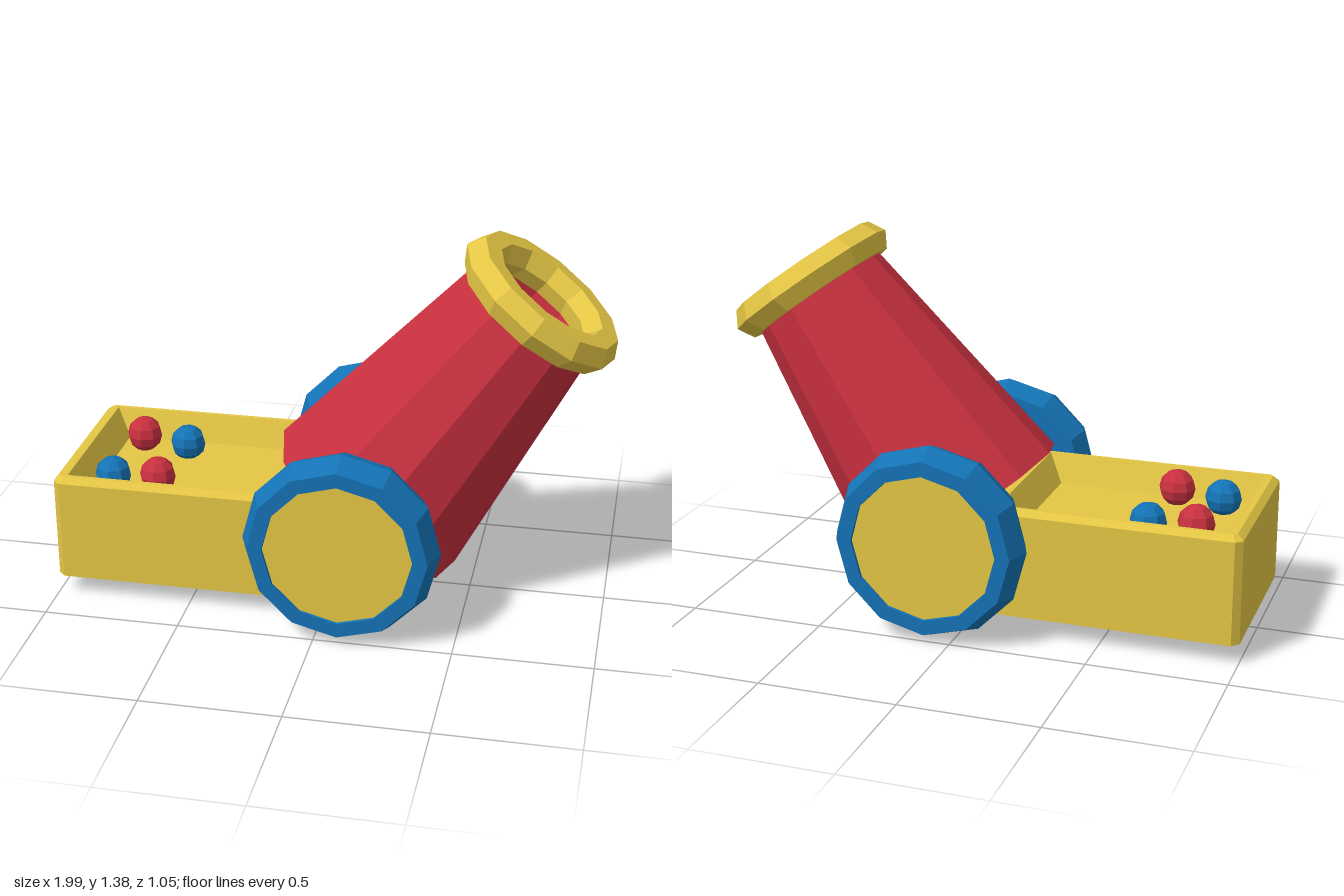
import * as THREE from 'three';

const mat = (color) => new THREE.MeshStandardMaterial({ color, flatShading: true });
const red = mat(0xc8303f), blue = mat(0x1473b5), yellow = mat(0xe4c644);
const SIDES = 12;

function add(parent, name, geometry, material, x = 0, y = 0, z = 0) {
  const mesh = new THREE.Mesh(geometry, material);
  mesh.name = name;
  mesh.position.set(x, y, z);
  parent.add(mesh);
  return mesh;
}

const lathe = (points) =>
  new THREE.LatheGeometry(points.map(([r, y]) => new THREE.Vector2(r, y)), SIDES);

// Stacks rectangles with cut corners: [height, half length, half width, corner cut]
function loftTray(sections) {
  const pos = [], index = [];
  for (const [y, a, b, c] of sections) {
    const ring = [
      [a, b - c], [a, -b + c], [a - c, -b], [-a + c, -b],
      [-a, -b + c], [-a, b - c], [-a + c, b], [a - c, b],
    ];
    for (const [x, z] of ring) pos.push(x, y, z);
  }
  for (let s = 0; s < sections.length - 1; s++) {
    for (let i = 0; i < 8; i++) {
      const p = s * 8 + i, q = s * 8 + (i + 1) % 8;
      index.push(p, q, p + 8, q, q + 8, p + 8);
    }
  }
  const geometry = new THREE.BufferGeometry();
  geometry.setAttribute('position', new THREE.Float32BufferAttribute(pos, 3));
  geometry.setIndex(index);
  geometry.computeVertexNormals();
  return geometry;
}

export function createModel() {
  const model = new THREE.Group();
  model.name = 'toyCannon';

  // Tray with a chamfered rim and a shallow sloped recess
  add(model, 'tray', loftTray([
    [0.075, 0, 0, 0],
    [0.075, 0.465, 0.35, 0.025],
    [0.455, 0.465, 0.35, 0.025],
    [0.475, 0.442, 0.327, 0.012],
    [0.475, 0.415, 0.31, 0],
    [0.37, 0.36, 0.27, 0],
    [0.37, 0, 0, 0],
  ]), yellow, -0.535);

  // Cannonballs
  const balls = [
    [-0.8, 0.44, -0.165, red], [-0.65, 0.44, 0.175, red],
    [-0.625, 0.423, -0.155, blue], [-0.825, 0.423, 0.165, blue],
  ];
  for (const [x, y, z, material] of balls) {
    add(model, 'cannonball', new THREE.SphereGeometry(0.068, 8, 6), material, x, y, z);
  }

  // Tilted barrel with a hollow bore
  const cannon = new THREE.Group();
  cannon.name = 'cannon';
  cannon.position.set(0.115, 0.34, 0);
  cannon.rotation.z = -0.635;
  model.add(cannon);
  add(cannon, 'barrel', lathe([
    [0, 0], [0.404, 0], [0.262, 0.965], [0.235, 0.965], [0.25, 0.25], [0, 0.25],
  ]), red);

  // Muzzle ring
  const ring = new THREE.TorusGeometry(0.26, 0.07, 6, SIDES);
  ring.rotateX(Math.PI / 2);
  add(cannon, 'muzzleRing', ring, yellow, 0, 1.016, 0);

  // Wheels: bevelled blue tyre, closed inside, with a slightly sunk yellow disc
  const h = 0.0875;
  for (const side of [1, -1]) {
    const wheel = new THREE.Group();
    wheel.name = side > 0 ? 'frontWheel' : 'backWheel';
    wheel.position.set(0.09, 0.358, side * 0.437);
    wheel.rotation.y = side > 0 ? 0 : Math.PI;
    model.add(wheel);
    const tyre = lathe([
      [0, -h], [0.322, -h], [0.356, 0], [0.322, h], [0.268, h], [0.266, h - 0.02], [0, h - 0.02],
    ]);
    tyre.rotateX(Math.PI / 2);
    add(wheel, 'tyre', tyre, blue);
    add(wheel, 'wheelDisc', new THREE.CircleGeometry(0.268, SIDES), yellow, 0, 0, h - 0.01);
  }

  return model;
}
